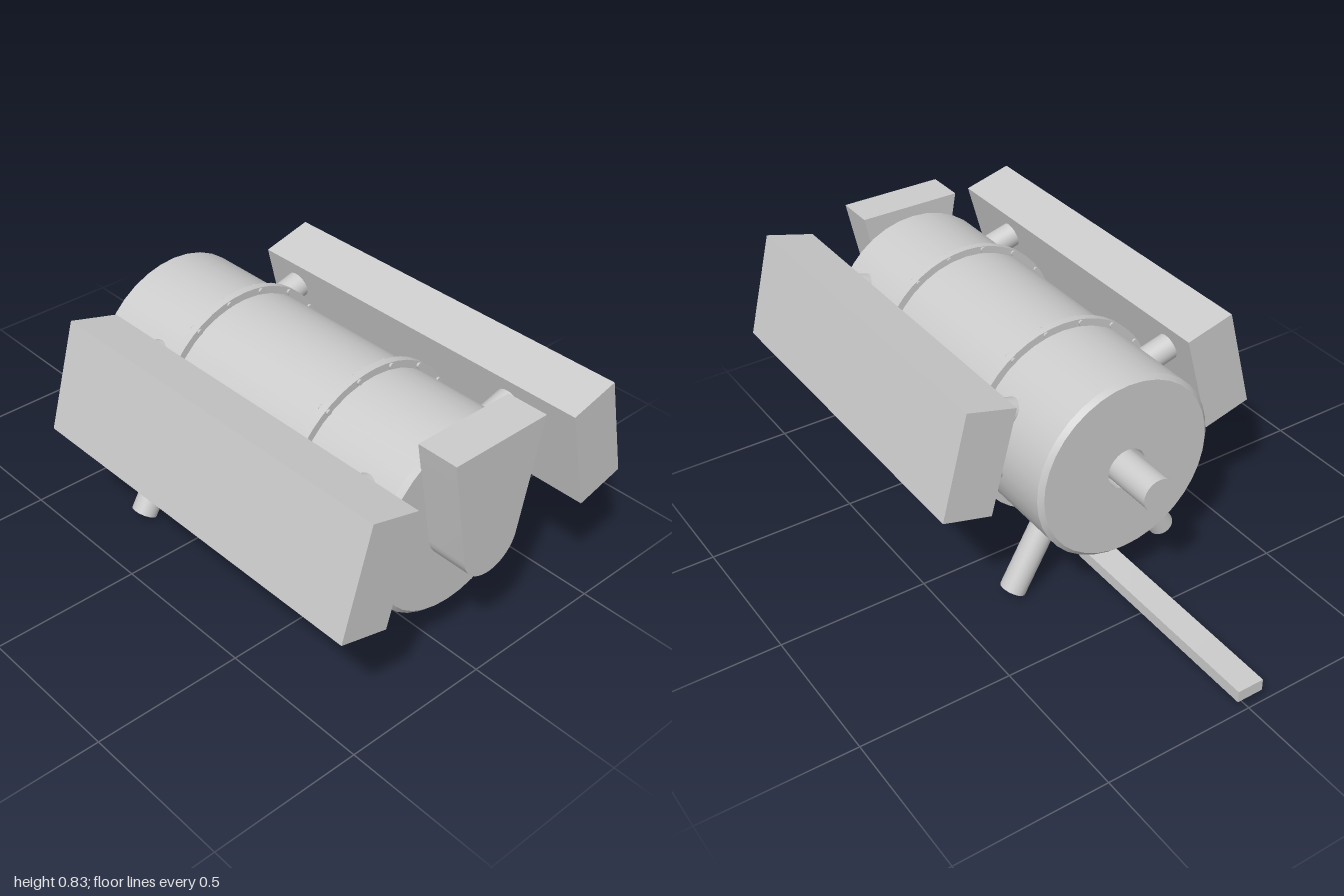
import * as THREE from 'three';
import { toCreasedNormals } from 'three/addons/utils/BufferGeometryUtils.js';

const AXIS_Y = 0.487; // height of the drum axis
const material = new THREE.MeshStandardMaterial({ color: 0xcccccc, side: THREE.DoubleSide });

export function createModel() {
  const model = new THREE.Group();
  model.name = 'model';

  const add = (name, geometry, x = 0, y = 0, z = 0, parent = model) => {
    const mesh = new THREE.Mesh(geometry, material);
    mesh.name = name;
    mesh.position.set(x, y, z);
    parent.add(mesh);
    return mesh;
  };
  // Round bar between two points
  const rod = (name, a, b, radius, segments = 24, parent = model) => {
    const dir = b.clone().sub(a);
    const mid = a.clone().add(b).multiplyScalar(0.5);
    const mesh = add(name, new THREE.CylinderGeometry(radius, radius, dir.length(), segments), mid.x, mid.y, mid.z, parent);
    mesh.quaternion.setFromUnitVectors(new THREE.Vector3(0, 1, 0), dir.normalize());
    return mesh;
  };
  const v = (x, y, z) => new THREE.Vector3(x, y, z);

  // Main drum with chamfered rims and a bore in the back face
  const profile = [
    [0, -0.33], [0.068, -0.33], [0.068, -0.387], [0.297, -0.387],
    [0.312, -0.372], [0.312, 0.853], [0.297, 0.868], [0, 0.868],
  ].map(([r, h]) => new THREE.Vector2(r, h));
  const drum = new THREE.LatheGeometry(profile, 36).rotateX(Math.PI / 2);
  add('drum', toCreasedNormals(drum, 0.5), 0, AXIS_Y, 0);

  // Shaft standing in the bore
  rod('shaft', v(0, AXIS_Y, -0.33), v(0, AXIS_Y, -0.545), 0.055);

  // Bolted flange rings
  for (const z of [0.518, -0.04]) {
    const flange = new THREE.Group();
    flange.name = 'flange';
    flange.position.set(0, AXIS_Y, z);
    model.add(flange);
    add('flangeRing', new THREE.CylinderGeometry(0.336, 0.336, 0.025, 48).rotateX(Math.PI / 2), 0, 0, 0, flange);
    for (let i = 0; i < 16; i++) {
      const a = ((i + 0.5) / 16) * Math.PI * 2;
      const x = 0.325 * Math.cos(a), y = 0.325 * Math.sin(a);
      rod('flangeBolt', v(x, y, -0.019), v(x, y, 0.019), 0.009, 10, flange);
    }
  }

  // Front block: tapered sides and a rounded lower end
  const shield = new THREE.Shape();
  shield.moveTo(0.178, 0.83);
  shield.lineTo(-0.178, 0.83);
  shield.lineTo(-0.106, 0.465);
  shield.absarc(0, 0.486, 0.108, Math.PI + 0.196, Math.PI * 2 - 0.196, false);
  shield.closePath();
  const block = new THREE.ExtrudeGeometry(shield, { depth: 0.135, bevelEnabled: false, curveSegments: 24 });
  add('frontBlock', toCreasedNormals(block, 0.5), 0, 0, 0.865);

  for (const side of [1, -1]) {
    const label = side > 0 ? 'left' : 'right';

    // Tilted side box on four round struts
    const pod = new THREE.Group();
    pod.name = label + 'Pod';
    pod.position.set(side * 0.4395, 0.606, 0);
    pod.rotation.z = side * Math.PI / 12;
    model.add(pod);
    add('sideBox', new THREE.BoxGeometry(0.171, 0.361, 1.27), 0, 0, 0.365, pod);
    for (const z of [0.75, -0.145]) {
      for (const y of [0.095, -0.083]) {
        rod('strut', v(-side * 0.25, y, z), v(-side * 0.05, y, z), 0.043, 24, pod);
      }
    }

    // Splayed legs, the rear pair longer
    const top = (z) => v(side * 0.12, 0.324, z);
    rod(label + 'FrontLeg', top(0.69), v(side * 0.2465, 0.105, z0(0.69)), 0.043);
    rod(label + 'RearLeg', top(-0.2), v(side * 0.2925, 0.0235, z0(-0.2)), 0.043);
  }

  // Bent flat tail bar: drops from the drum, then runs to the back
  const bar = new THREE.Shape();
  bar.moveTo(1, 0.05);
  bar.lineTo(1, 0.09);
  bar.lineTo(0.225, 0.09);
  bar.absarc(0.225, 0.11, 0.02, -Math.PI / 2, -Math.PI, true);
  bar.lineTo(0.205, 0.22);
  bar.lineTo(0.165, 0.22);
  bar.lineTo(0.165, 0.11);
  bar.absarc(0.225, 0.11, 0.06, Math.PI, Math.PI * 1.5, false);
  bar.closePath();
  const tail = new THREE.ExtrudeGeometry(bar, { depth: 0.09, bevelEnabled: false, curveSegments: 12 });
  tail.translate(0, 0, -0.045).rotateY(Math.PI / 2);
  add('tailBar', toCreasedNormals(tail, 0.5));

  return model;
}

// Legs keep the same depth from top to foot
function z0(z) { return z; }
